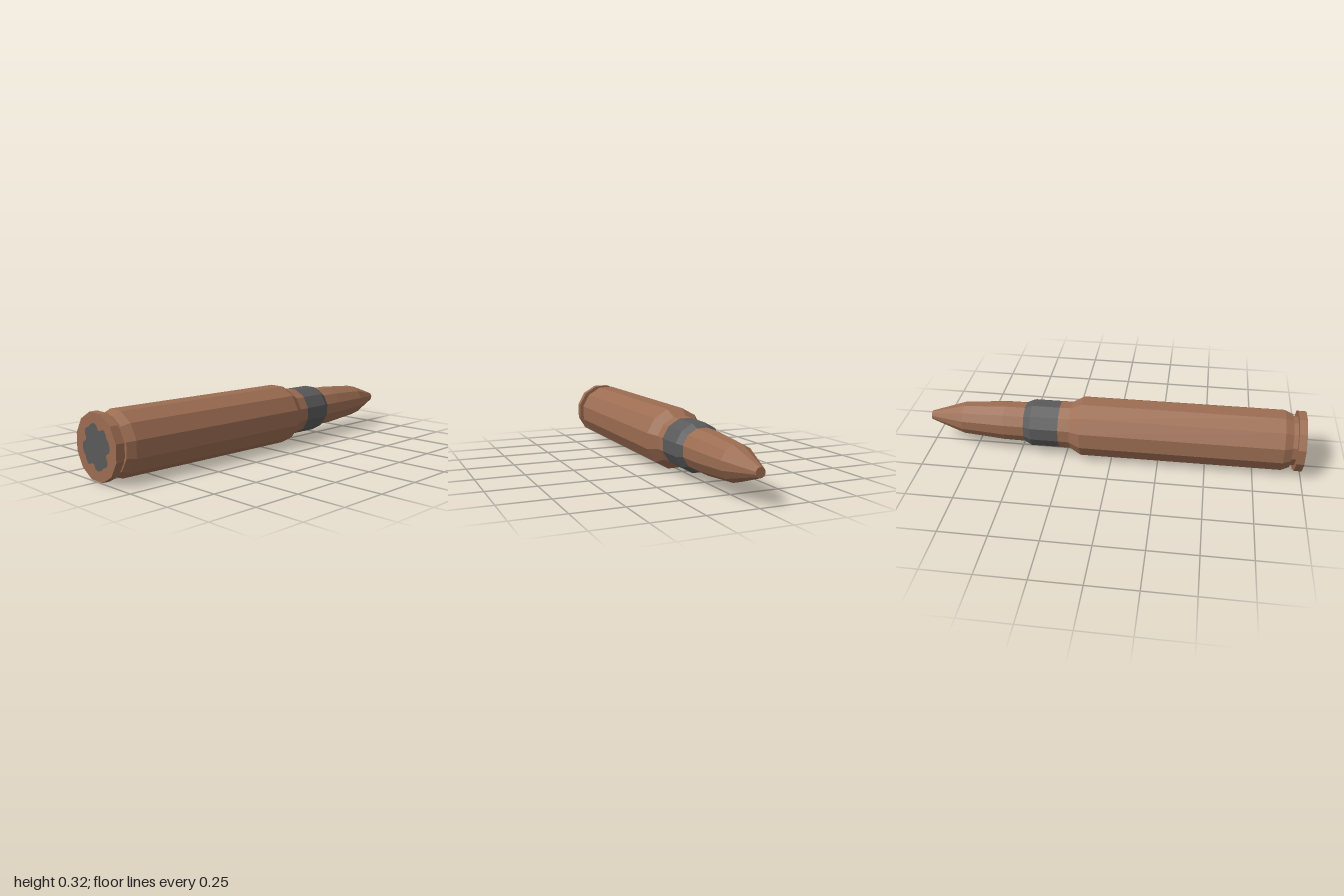
import * as THREE from 'three';

const SIDES = 12;
const TURN = THREE.MathUtils.degToRad(14);

export function createModel() {
  const group = new THREE.Group();
  const copper = new THREE.MeshStandardMaterial({ color: 0x9c6d52, flatShading: true });
  copper.name = 'copper';
  const steel = new THREE.MeshStandardMaterial({ color: 0x5a5a5a, flatShading: true });
  steel.name = 'dark steel';

  // The axis droops very slightly from base to tip
  function add(name, geometry, material) {
    const p = geometry.attributes.position;
    for (let i = 0; i < p.count; i++) p.setY(i, p.getY(i) + 0.1572 + 0.003 * p.getZ(i));
    geometry.computeVertexNormals();
    const mesh = new THREE.Mesh(geometry, material);
    mesh.name = name;
    group.add(mesh);
  }

  // Turned part along z; profile is [z, radius] from tip towards base
  function turned(name, profile, material) {
    const points = profile.map(([z, r]) => new THREE.Vector2(r, z));
    add(name, new THREE.LatheGeometry(points, SIDES, TURN).rotateX(Math.PI / 2), material);
  }

  turned('bullet', [[-1, 0], [-1, 0.0245], [-0.81, 0.088], [-0.58, 0.106], [-0.47, 0.107]], copper);
  turned('neckBand', [[-0.47, 0.107], [-0.43, 0.127], [-0.28, 0.127]], steel);
  turned('casing', [[-0.28, 0.127], [-0.22, 0.128], [-0.16, 0.161], [0.893, 0.161],
    [0.935, 0.143], [0.935, 0.13], [0.96, 0.13]], copper);
  turned('rim', [[0.96, 0.13], [0.96, 0.161], [1, 0.161]], copper);

  // Primer outline: one lobe repeated four times around the centre
  const lobe = [[0.03, 0.079], [0.04, 0.079], [0.05, 0.086], [0.07, 0.085], [0.083, 0.066],
    [0.085, 0.055], [0.1, 0.037], [0.107, 0.02], [0.108, 0.003], [0.1, -0.012],
    [0.086, -0.018], [0.079, -0.024]];
  const outline = [];
  for (let k = 0; k < 4; k++) {
    for (const [x, y] of lobe) {
      outline.push(new THREE.Vector2(x, y).rotateAround(new THREE.Vector2(), -k * Math.PI / 2));
    }
  }
  add('primer', new THREE.ShapeGeometry(new THREE.Shape(outline)).translate(0, 0, 1), steel);

  // Flat base around the primer
  const corners = [];
  for (let i = 0; i < SIDES; i++) {
    const a = TURN + i * 2 * Math.PI / SIDES;
    corners.push(new THREE.Vector2(0.161 * Math.cos(a), 0.161 * Math.sin(a)));
  }
  const base = new THREE.Shape(corners);
  base.holes.push(new THREE.Path(outline));
  add('baseFace', new THREE.ShapeGeometry(base).translate(0, 0, 1), copper);

  return group;
}
